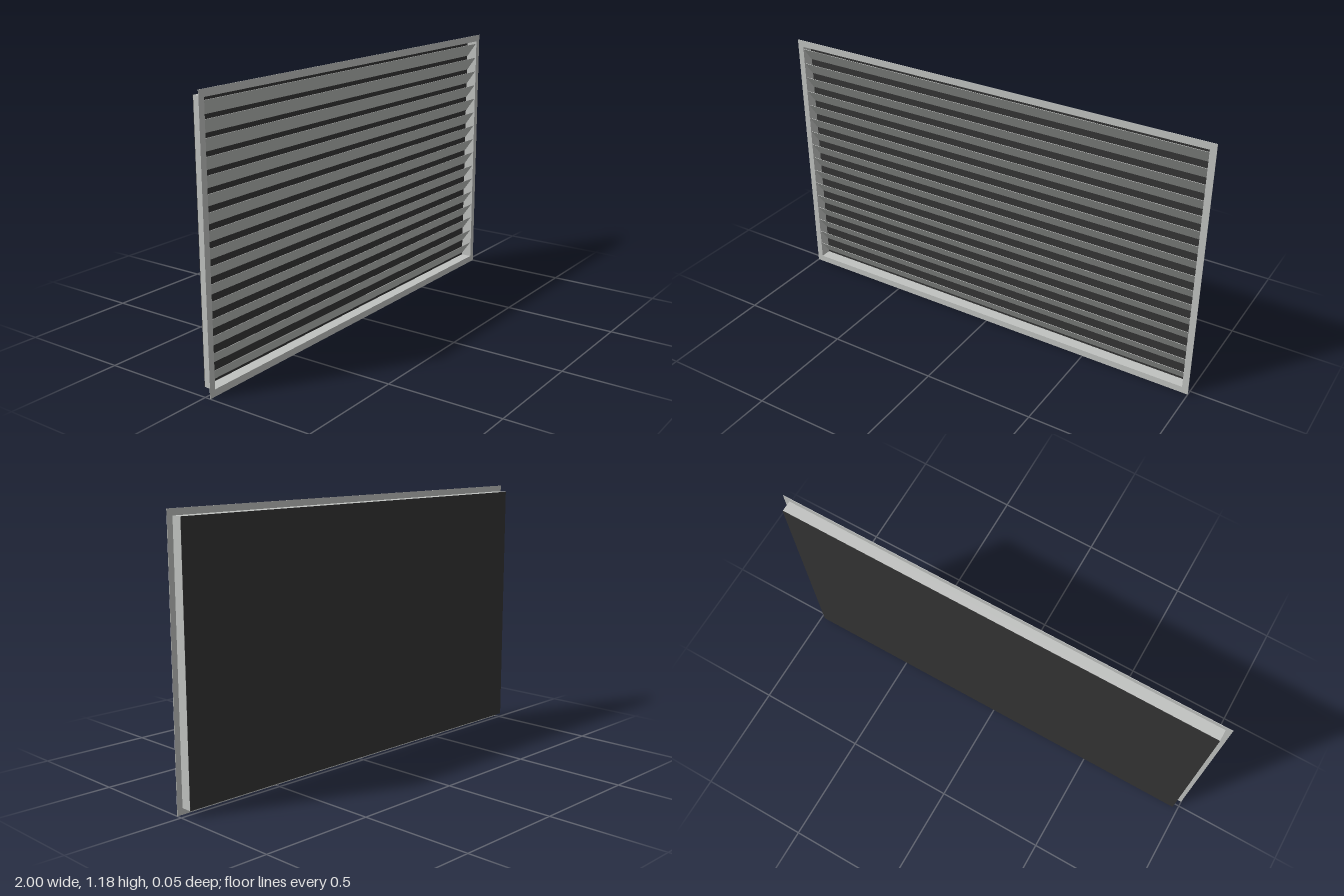
import * as THREE from 'three';

const HEIGHT = 1.18, MID = HEIGHT / 2;
const HALF_DEPTH = 0.026;
const OPEN_W = 1.944, OPEN_H = 1.12;   // clear opening
const SLEEVE_W = 1.95, SLEEVE_H = 1.126;

// Rectangular ring extruded along z from z0 to z1
function ring(w, h, innerW, innerH, z0, z1) {
  const rect = (path, a, b) => path
    .moveTo(-a / 2, -b / 2).lineTo(a / 2, -b / 2)
    .lineTo(a / 2, b / 2).lineTo(-a / 2, b / 2).closePath();
  const shape = new THREE.Shape();
  rect(shape, w, h);
  const hole = new THREE.Path();
  rect(hole, innerW, innerH);
  shape.holes.push(hole);
  return new THREE.ExtrudeGeometry(shape, { depth: z1 - z0, bevelEnabled: false })
    .translate(0, MID, z0);
}

export function createModel() {
  const metal = new THREE.MeshStandardMaterial({ color: 0xc0c2c0 });
  metal.name = 'light grey metal';
  const dark = new THREE.MeshStandardMaterial({ color: 0x343434 });
  dark.name = 'dark backing';

  const group = new THREE.Group();
  group.name = 'louverPanel';
  const add = (name, geometry, material) => {
    const mesh = new THREE.Mesh(geometry, material);
    mesh.name = name;
    group.add(mesh);
    return mesh;
  };

  // Thin front flange and the sleeve behind it
  add('flange', ring(2, HEIGHT, OPEN_W, OPEN_H, HALF_DEPTH - 0.002, HALF_DEPTH), metal);
  add('sleeve', ring(SLEEVE_W, SLEEVE_H, OPEN_W, OPEN_H, -HALF_DEPTH + 0.002, HALF_DEPTH - 0.002), metal);

  // Backing sheet closing the sleeve
  add('backPanel', new THREE.BoxGeometry(SLEEVE_W, SLEEVE_H, 0.002), dark)
    .position.set(0, MID, -HALF_DEPTH + 0.001);

  // Slats lean forward: top edge at the front, bottom edge at the back
  const count = 16, pitch = 0.0689, rise = 0.062, run = 0.044;
  const slat = new THREE.BoxGeometry(OPEN_W, Math.hypot(rise, run), 0.0015);
  slat.rotateX(Math.atan2(run, rise));
  for (let i = 0; i < count; i++) {
    add('slat', slat, metal).position.set(0, MID + (i - (count - 1) / 2) * pitch, 0);
  }
  return group;
}
